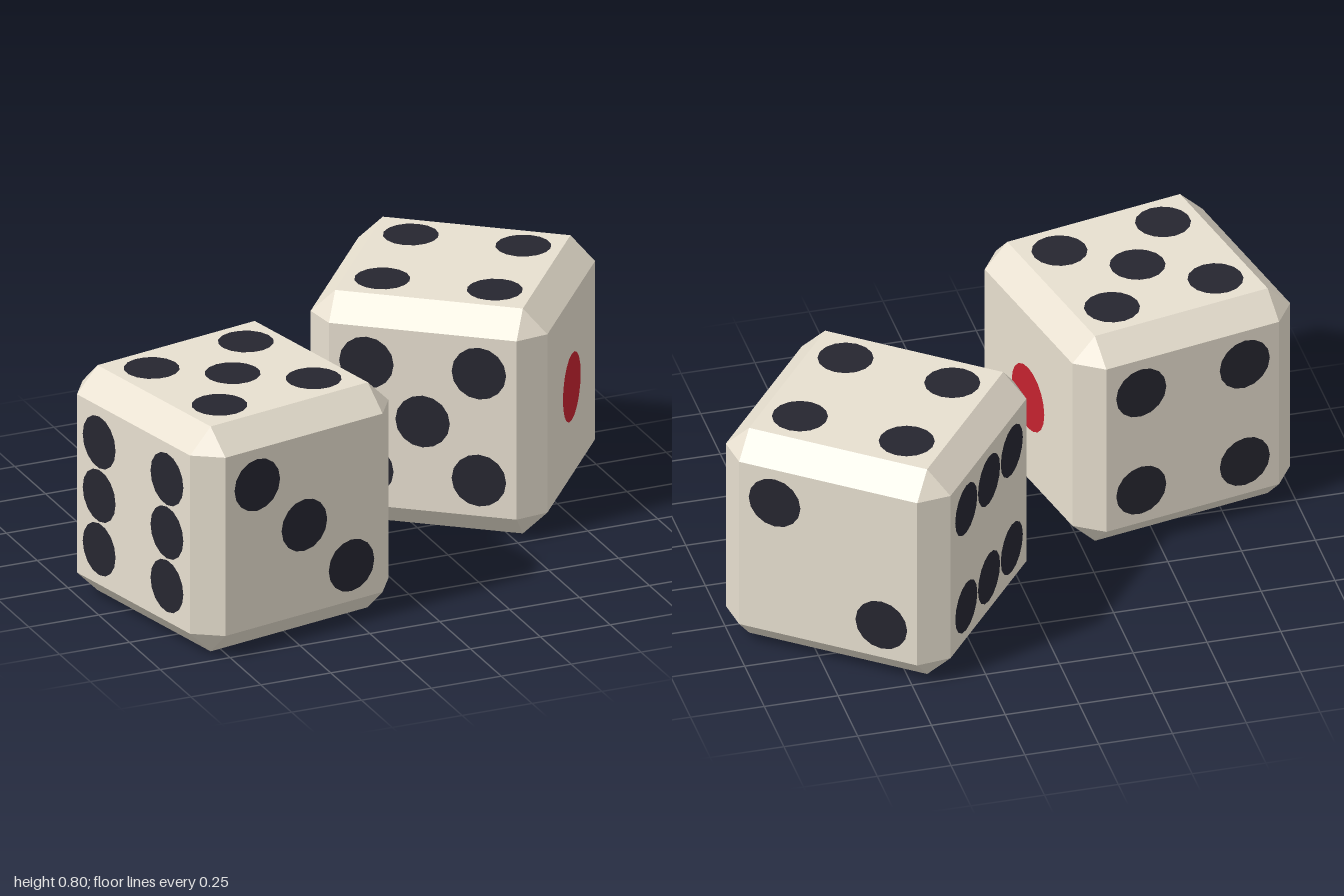
import * as THREE from 'three';
import { ConvexGeometry } from 'three/addons/geometries/ConvexGeometry.js';

const HALF = 0.4, FLAT = 0.317, STEP = 0.19;

const ivory = new THREE.MeshStandardMaterial({ color: 0xe8e0d0 });
ivory.name = 'ivory';
const ink = new THREE.MeshStandardMaterial({ color: 0x262630 });
ink.name = 'darkInk';
const red = new THREE.MeshStandardMaterial({ color: 0xc4222f });
red.name = 'red';

// Pip layouts on a 3 x 3 grid: [right, up] as seen looking at the face
const corners = [[-1, -1], [1, -1], [-1, 1], [1, 1]];
const falling = [[-1, 1], [1, -1]];
const layouts = {
  one: [[0, 0]],
  two: falling,
  three: [...falling, [0, 0]],
  four: corners,
  five: [...corners, [0, 0]],
  sixUpright: [...corners, [-1, 0], [1, 0]],
  sixLevel: [...corners, [0, -1], [0, 1]],
  // on the underside the diagonal runs the other way
  twoRising: [[-1, -1], [1, 1]],
  threeRising: [[-1, -1], [1, 1], [0, 0]],
};

// Rotation carrying a +z facing plate onto each side of the cube
const sides = {
  front: [0, 0, 0],
  back: [0, Math.PI, 0],
  left: [0, Math.PI / 2, 0],
  right: [0, -Math.PI / 2, 0],
  top: [-Math.PI / 2, 0, 0],
  bottom: [Math.PI / 2, 0, 0],
};

// Cube with every edge cut flat and a triangle at each corner
function bevelledCube() {
  const points = [];
  for (const x of [-1, 1]) for (const y of [-1, 1]) for (const z of [-1, 1]) {
    for (let axis = 0; axis < 3; axis++) {
      const p = new THREE.Vector3(x, y, z).multiplyScalar(FLAT);
      p.setComponent(axis, Math.sign(p.getComponent(axis)) * HALF);
      points.push(p);
    }
  }
  return new ConvexGeometry(points);
}

const bodyGeometry = bevelledCube();
const pipGeometry = new THREE.CircleGeometry(0.092, 16);
const bigPipGeometry = new THREE.CircleGeometry(0.118, 20);

function makeDie(name, faces) {
  const die = new THREE.Group();
  die.name = name;
  const body = new THREE.Mesh(bodyGeometry, ivory);
  body.name = 'body';
  die.add(body);
  for (const [side, layout] of Object.entries(faces)) {
    const face = new THREE.Group();
    face.name = side + 'Pips';
    face.rotation.set(...sides[side]);
    const single = layout === 'one';
    for (const [u, v] of layouts[layout]) {
      const pip = new THREE.Mesh(single ? bigPipGeometry : pipGeometry, single ? red : ink);
      pip.name = 'pip';
      pip.position.set(u * STEP, v * STEP, HALF + 0.002);
      face.add(pip);
    }
    die.add(face);
  }
  return die;
}

export function createModel() {
  const model = new THREE.Group();
  model.name = 'pairOfDice';

  const frontDie = makeDie('frontDie', {
    top: 'five', bottom: 'twoRising', front: 'three', back: 'four', left: 'one', right: 'sixUpright',
  });
  frontDie.position.set(-0.545, HALF, 0.305);
  frontDie.rotation.y = THREE.MathUtils.degToRad(12);

  const backDie = makeDie('backDie', {
    top: 'four', bottom: 'threeRising', front: 'five', back: 'two', left: 'one', right: 'sixLevel',
  });
  backDie.position.set(0.49, HALF, -0.257);
  backDie.rotation.y = THREE.MathUtils.degToRad(-38);

  // The underside diagonals run from front right to back left
  model.add(frontDie, backDie);
  return model;
}
